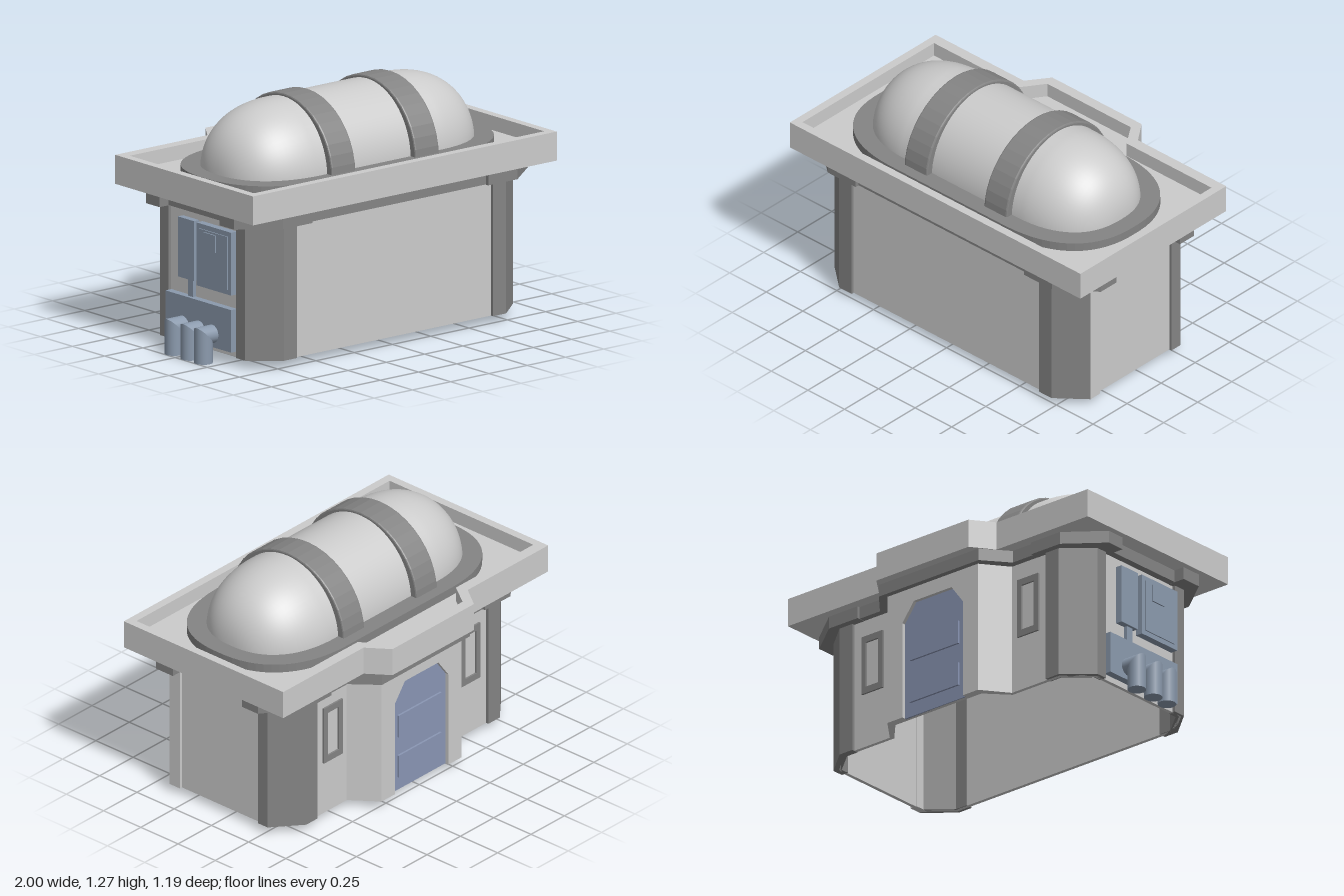
import * as THREE from 'three';

const mat = (color) => new THREE.MeshStandardMaterial({ color });
const light = mat(0xcccccc), dark = mat(0x848484), doorBlue = mat(0x8a96b4), steel = mat(0x8b9aad);
const ROUND = 2 / 2.4; // exponent for the squarish oval of dome and flange

export function createModel() {
  const root = new THREE.Group();
  const g = new THREE.Group();
  g.name = 'building';
  g.position.x = 0.005;
  root.add(g);

  const add = (name, geo, material) => {
    const m = new THREE.Mesh(geo, material);
    m.name = name;
    g.add(m);
  };
  const box = (name, x0, x1, y0, y1, z0, z1, material) =>
    add(name, new THREE.BoxGeometry(x1 - x0, y1 - y0, z1 - z0)
      .translate((x0 + x1) / 2, (y0 + y1) / 2, (z0 + z1) / 2), material);
  const toShape = (pts) => new THREE.Shape(pts.map(([a, b]) => new THREE.Vector2(a, b)));
  // Upright prism from a floor plan given as [x, z] corners, with an optional hole
  const prism = (name, pts, y0, y1, material, hole) => {
    const flip = (p) => p.map(([x, z]) => [x, -z]);
    const s = toShape(flip(pts));
    if (hole) s.holes.push(toShape(flip(hole)));
    const geo = new THREE.ExtrudeGeometry(s, { depth: y1 - y0, bevelEnabled: false });
    add(name, geo.rotateX(-Math.PI / 2).translate(0, y0, 0), material);
  };
  // Upright plate cut in the xy plane
  const plate = (name, pts, z0, z1, material, hole) => {
    const s = toShape(pts);
    if (hole) s.holes.push(toShape(hole));
    const geo = new THREE.ExtrudeGeometry(s, { depth: z1 - z0, bevelEnabled: false });
    add(name, geo.translate(0, 0, z0), material);
  };
  const rect = (x0, x1, y0, y1) => [[x0, y0], [x1, y0], [x1, y1], [x0, y1]];
  // Completes a half outline (x > 0) by mirroring it
  const mirrored = (half) => [...half, ...half.map(([x, z]) => [-x, z]).reverse()];

  // Hollow walls with cut corners and a porch, open at the bottom
  prism('walls',
    mirrored([[0.72, 0.5], [0.86, 0.385], [0.86, -0.265], [0.72, -0.38], [0.405, -0.38],
      [0.30, -0.52], [0.2, -0.52], [0.2, -0.495]]), 0.04, 0.8, light,
    mirrored([[0.713, 0.48], [0.84, 0.375], [0.84, -0.255], [0.713, -0.36], [0.393, -0.36], [0.285, -0.475]]));

  // Door niche
  plate('doorLintel', mirrored([[0.2, 0.76], [0.2, 0.56], [0.125, 0.66]]), -0.52, -0.49, light);
  plate('door', mirrored([[0.2, 0.04], [0.2, 0.56], [0.125, 0.66]]), -0.5, -0.49, doorBlue);
  for (const y of [0.115, 0.345])
    box('doorPanel', -0.16, 0.16, y, y + 0.125, -0.511, -0.495, doorBlue);

  // Corner pillars wrapping the cut corners, their caps and the rear windows
  for (const s of [1, -1]) {
    const side = (pts) => pts.map(([x, z]) => [x * s, z]);
    const end = s > 0 ? 0.389 : 0.32;
    prism('frontPillar', side([[0.64, 0.475], [0.64, 0.515], [0.725, 0.515], [0.875, 0.39],
      [0.875, end], [0.835, end], [0.835, 0.372], [0.71, 0.475]]), 0.04, 0.76, dark);
    prism('backPillar', side([[0.64, -0.355], [0.64, -0.395], [0.725, -0.395], [0.875, -0.27],
      [0.875, -0.205], [0.835, -0.205], [0.835, -0.252], [0.71, -0.355]]), 0.04, 0.76, dark);
    prism('frontPillarCap', side([[0.575, 0.42], [0.575, 0.555], [0.765, 0.555], [0.96, 0.405],
      [0.96, 0.29], [0.8, 0.29]]), 0.735, 0.8, dark);
    prism('backPillarCap', side([[0.575, -0.3], [0.575, -0.43], [0.765, -0.43], [0.96, -0.28],
      [0.96, -0.175], [0.8, -0.175]]), 0.735, 0.8, dark);
    const cx = 0.515 * s;
    plate('windowFrame', rect(cx - 0.07, cx + 0.07, 0.33, 0.645), -0.39, -0.375, dark,
      rect(cx - 0.042, cx + 0.042, 0.365, 0.61));
  }
  box('pillarEdge', 0.835, 0.875, 0.04, 0.76, 0.32, 0.389, light);

  // Cornice below the roof
  prism('cornice', mirrored([[0.74, 0.535], [0.9, 0.4], [0.9, -0.28], [0.74, -0.415],
    [0.44, -0.415], [0.33, -0.55]]), 0.736, 0.8, dark);

  // Roof slab with raised rim
  const outer = mirrored([[0.9925, 0.59], [0.9925, -0.48], [0.39, -0.48], [0.305, -0.598]]);
  const inner = mirrored([[0.948, 0.545], [0.948, -0.42], [0.368, -0.42], [0.285, -0.54]]);
  prism('roofSlab', inner, 0.8, 0.875, light);
  prism('roofRim', outer, 0.8, 0.95, light, inner);

  // Oval flange under the dome
  const power = (v) => Math.sign(v) * Math.abs(v) ** ROUND;
  const oval = [];
  for (let i = 0; i < 64; i++) {
    const a = ((i + 0.5) / 64) * Math.PI * 2, c = Math.cos(a);
    oval.push([0.36 * Math.sign(c) + 0.512 * power(c), 0.065 + 0.435 * power(Math.sin(a))]);
  }
  prism('domeFlange', oval, 0.87, 0.92, dark);

  // Long dome: half a turn of a rounded profile, laid along x
  const profile = [];
  for (let i = 0; i <= 40; i++) {
    const a = ((i + 0.001) / 40.002) * Math.PI, c = -Math.cos(a);
    const end = i === 20 ? 0 : 0.36 * Math.sign(c) + 0.42 * power(c);
    profile.push(new THREE.Vector2(power(Math.sin(a)), end));
  }
  const dome = new THREE.LatheGeometry(profile, 32, 0, Math.PI)
    .rotateZ(Math.PI / 2).scale(1, 0.355, 0.34);
  add('dome', dome.translate(0, 0.9, 0.065), light);

  // Bands over the dome
  for (const x of [-0.2725, 0.2725]) {
    const arch = [];
    for (let i = 0; i <= 20; i++) {
      const a = (i / 20) * Math.PI;
      arch.push([0.37 * Math.cos(a), 0.362 * Math.sin(a)]);
    }
    for (let i = 20; i >= 0; i--) {
      const a = (i / 20) * Math.PI;
      arch.push([0.325 * Math.cos(a), 0.335 * Math.sin(a)]);
    }
    const geo = new THREE.ExtrudeGeometry(toShape(arch),
      { depth: 0.139, bevelThickness: 0.008, bevelSize: 0.008, bevelSegments: 2 });
    add('domeBand', geo.translate(0, 0, -0.0695).rotateY(Math.PI / 2).translate(x, 0.9, 0.065), dark);
  }

  // Service boxes set through the right wall
  box('pipeBox', -0.9, -0.83, 0.07, 0.29, -0.2, 0.31, steel);
  box('narrowCabinet', -0.895, -0.83, 0.38, 0.69, -0.11, 0.015, steel);
  box('cabinet', -0.9, -0.83, 0.365, 0.69, 0.04, 0.31, steel);
  box('cabinetDoor', -0.906, -0.89, 0.39, 0.665, 0.065, 0.285, steel);
  box('cabinetPlate', -0.913, -0.89, 0.565, 0.655, 0.11, 0.2, steel);
  box('conduit', -0.88, -0.85, 0.28, 0.39, -0.05, -0.01, steel);

  // Mitred elbow pipes
  const r = 0.047, px = -0.958, py = 0.139;
  for (const z of [0.165, 0.06, -0.065]) {
    const down = new THREE.CylinderGeometry(r, r, 2, 20);
    const across = new THREE.CylinderGeometry(r, r, 2, 20).rotateZ(-Math.PI / 2);
    const d = down.attributes.position, a = across.attributes.position;
    for (let i = 0; i < d.count; i++) {
      d.setY(i, d.getY(i) > 0 ? -d.getX(i) : -py);
      a.setX(i, a.getX(i) > 0 ? 0.132 : -a.getY(i));
    }
    add('pipeDrop', down.translate(px, py, z), steel);
    add('pipeInlet', across.translate(px, py, z), steel);
  }
  return root;
}
